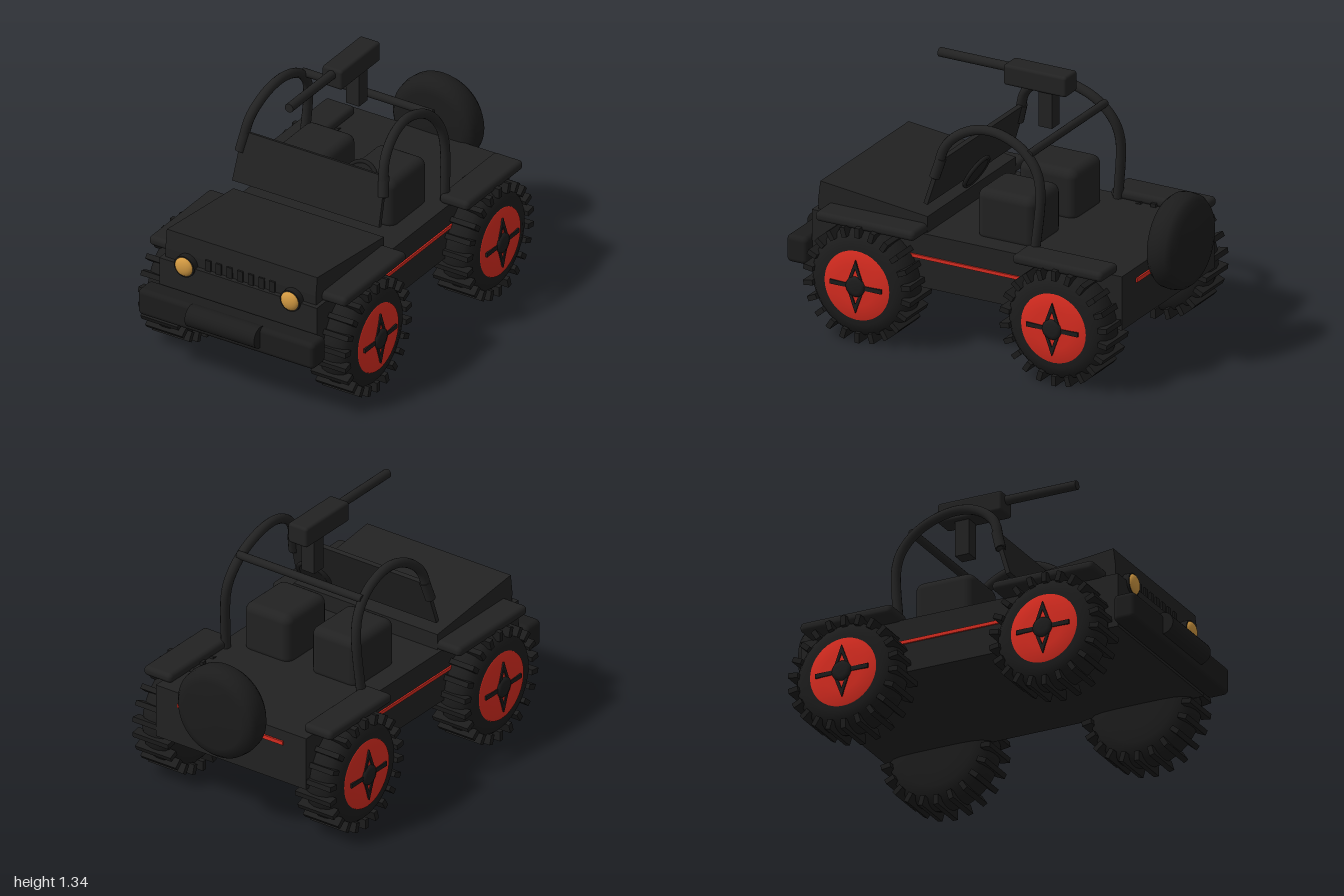
import * as THREE from 'three';
import { RoundedBoxGeometry } from 'three/addons/geometries/RoundedBoxGeometry.js';

const paint = (name, color) => Object.assign(new THREE.MeshStandardMaterial({ color }), { name });

export function createModel() {
  const model = new THREE.Group();
  model.name = 'offRoadCar';
  const body = paint('charcoal body', 0x222222);
  const rubber = paint('black rubber', 0x1c1c1c);
  const red = paint('red trim', 0xd92c20);
  const amber = paint('amber lamp', 0xd39a42);

  const add = (name, geo, mat, x = 0, y = 0, z = 0, parent = model) => {
    const mesh = new THREE.Mesh(geo, mat);
    mesh.name = name;
    mesh.position.set(x, y, z);
    parent.add(mesh);
    return mesh;
  };
  const box = (w, h, d) => new THREE.BoxGeometry(w, h, d);
  const round = (w, h, d, r) => new RoundedBoxGeometry(w, h, d, 3, r);
  const lathe = (pts, n = 40) => new THREE.LatheGeometry(pts.map(p => new THREE.Vector2(...p)), n);
  const rod = (r, len, n = 20) => new THREE.CylinderGeometry(r, r, len, n);
  const outline = pts => new THREE.Shape(pts.map(p => new THREE.Vector2(...p)));
  // Extrudes a side profile of [z, y] points across the width
  const sideProfile = (pts, width) => new THREE.ExtrudeGeometry(outline(pts), { depth: width, bevelEnabled: false })
    .rotateY(-Math.PI / 2).translate(width / 2, 0, 0);

  // Tub, hood and windshield
  add('tub', box(0.885, 0.275, 1.685), body, 0, 0.4325, -0.008);
  add('hood', sideProfile([[0.81, 0.56], [0.812, 0.62], [0.8, 0.715], [0.217, 0.652], [0.217, 0.56]], 0.845), body);
  const shield = new THREE.ExtrudeGeometry(outline([[-0.412, 0], [0.412, 0], [0.4, 0.25], [-0.4, 0.25]]),
    { depth: 0.022, bevelEnabled: false }).translate(0, 0, -0.011);
  add('windshield', shield, body, 0, 0.71, 0.235).rotation.x = -0.3;

  // Grille bars
  for (let i = 0; i < 7; i++) {
    add('grilleBar', box(0.03, 0.06, 0.012), rubber, (i - 3) * 0.06, 0.597, 0.814);
  }

  // Front bumper and winch drum
  add('bumper', round(0.99, 0.14, 0.115, 0.025), rubber, 0, 0.367, 0.89);
  add('winch', rod(0.056, 0.39, 24).rotateZ(Math.PI / 2), rubber, 0, 0.388, 0.944);

  // Spare wheel cover
  const cover = lathe([[0, -0.08], [0.17, -0.078], [0.21, -0.066], [0.231, -0.04], [0.236, 0],
    [0.231, 0.04], [0.21, 0.066], [0.17, 0.078], [0, 0.08]], 48).rotateX(-Math.PI / 2);
  add('spareWheel', cover, rubber, 0, 0.61, -0.92);
  add('rearStripe', box(0.62, 0.02, 0.009), red, 0, 0.505, -0.855);

  // Steering wheel
  const steering = new THREE.Group();
  steering.name = 'steeringWheel';
  steering.position.set(0.2, 0.83, 0.078);
  steering.rotation.x = -0.51;
  model.add(steering);
  add('steeringRim', new THREE.TorusGeometry(0.086, 0.011, 8, 32), rubber, 0, 0, 0, steering);
  add('steeringDisc', rod(0.085, 0.012, 32).rotateX(Math.PI / 2), rubber, 0, 0, 0, steering);

  // Parts mirrored on both sides
  for (const s of [1, -1]) {
    add('sideStripe', box(0.009, 0.017, 1.1), red, s * 0.446, 0.45, -0.02);
    add('frontFender', round(0.17, 0.05, 0.54, 0.022), body, s * 0.47, 0.59, 0.488);
    add('rearFender', round(0.165, 0.05, 0.49, 0.022), body, s * 0.472, 0.59, -0.558);
    add('seat', round(0.275, 0.27, 0.315, 0.045), body, s * 0.198, 0.675, -0.152);

    add('headlightRing', rod(0.056, 0.04, 28).rotateX(Math.PI / 2), rubber, s * 0.297, 0.57, 0.826);
    add('headlight', new THREE.SphereGeometry(0.05, 28, 16).scale(1, 1, 0.5), amber, s * 0.297, 0.57, 0.842);

    // Curved roll bar, bowed inward at the top
    const path = new THREE.CatmullRomCurve3([
      [0.4, 0.865, 0.185], [0.378, 1.02, 0.14], [0.36, 1.105, 0.03], [0.352, 1.125, -0.1],
      [0.356, 1.075, -0.25], [0.368, 0.985, -0.34], [0.382, 0.88, -0.373], [0.4, 0.56, -0.352],
    ].map(([x, y, z]) => new THREE.Vector3(s * x, y, z)));
    add('rollBar', new THREE.TubeGeometry(path, 48, 0.024, 12), body);
    const sleeve = add('rollBarFoot', rod(0.026, 0.1, 12), body, s * 0.395, 0.9, 0.177);
    sleeve.rotation.set(-0.28, 0, s * 0.14);
    add('rollBarCap', new THREE.SphereGeometry(0.024, 12, 8), body, s * 0.4, 0.865, 0.185);
  }
  add('crossBar', rod(0.02, 0.73, 14).rotateZ(Math.PI / 2), body, 0, 1.055, -0.3);

  // Roof mounted gun
  add('gunPost', box(0.074, 0.19, 0.074), body, 0, 1.15, -0.203);
  add('gunBody', round(0.114, 0.105, 0.342, 0.015), body, 0, 1.288, -0.155);
  add('gunBarrel', rod(0.023, 0.4, 16).rotateX(Math.PI / 2), body, 0, 1.308, 0.19);

  // Wheel geometry: axle along x, outer face toward +x
  const turn = geo => geo.rotateZ(-Math.PI / 2);
  const tyre = turn(lathe([[0, -0.098], [0.12, -0.097], [0.19, -0.092], [0.235, -0.08], [0.264, -0.055], [0.275, -0.02],
    [0.275, 0.02], [0.264, 0.06], [0.24, 0.085], [0.2, 0.1], [0.16, 0.1], [0, 0.1]], 48));
  const rim = turn(lathe([[0.178, 0.09], [0.174, 0.105], [0.1, 0.113], [0, 0.116]], 40));
  const cap = turn(lathe([[0.052, 0.1], [0.05, 0.122], [0.03, 0.127], [0, 0.128]], 20));
  const lug = box(0.208, 0.05, 0.026);
  const spokeShape = outline([[0, -0.135], [0.05, 0], [0, 0.135], [-0.05, 0]]);
  spokeShape.holes.push(outline([[0, -0.092], [-0.034, 0], [0, 0.092], [0.034, 0]]));
  const diamond = new THREE.ExtrudeGeometry(spokeShape, { depth: 0.009, bevelEnabled: false })
    .rotateY(Math.PI / 2).translate(0.111, 0, 0);

  for (const z of [0.512, -0.556]) {
    for (const s of [1, -1]) {
      const wheel = new THREE.Group();
      wheel.name = z > 0 ? 'frontWheel' : 'rearWheel';
      wheel.position.set(s * 0.478, 0.295, z);
      wheel.rotation.y = s > 0 ? 0 : Math.PI;
      model.add(wheel);
      add('tyre', tyre, rubber, 0, 0, 0, wheel);
      add('rim', rim, red, 0, 0, 0, wheel);
      add('hubCap', cap, rubber, 0, 0, 0, wheel);
      add('diamondSpokes', diamond, rubber, 0, 0, 0, wheel);
      add('crossSpoke', box(0.009, 0.022, 0.28), rubber, 0.1145, 0, 0, wheel);
      for (let i = 0; i < 22; i++) {
        const a = (i / 22) * Math.PI * 2;
        add('treadLug', lug, rubber, 0, Math.cos(a) * 0.268, Math.sin(a) * 0.268, wheel).rotation.x = a;
      }
    }
  }
  return model;
}
